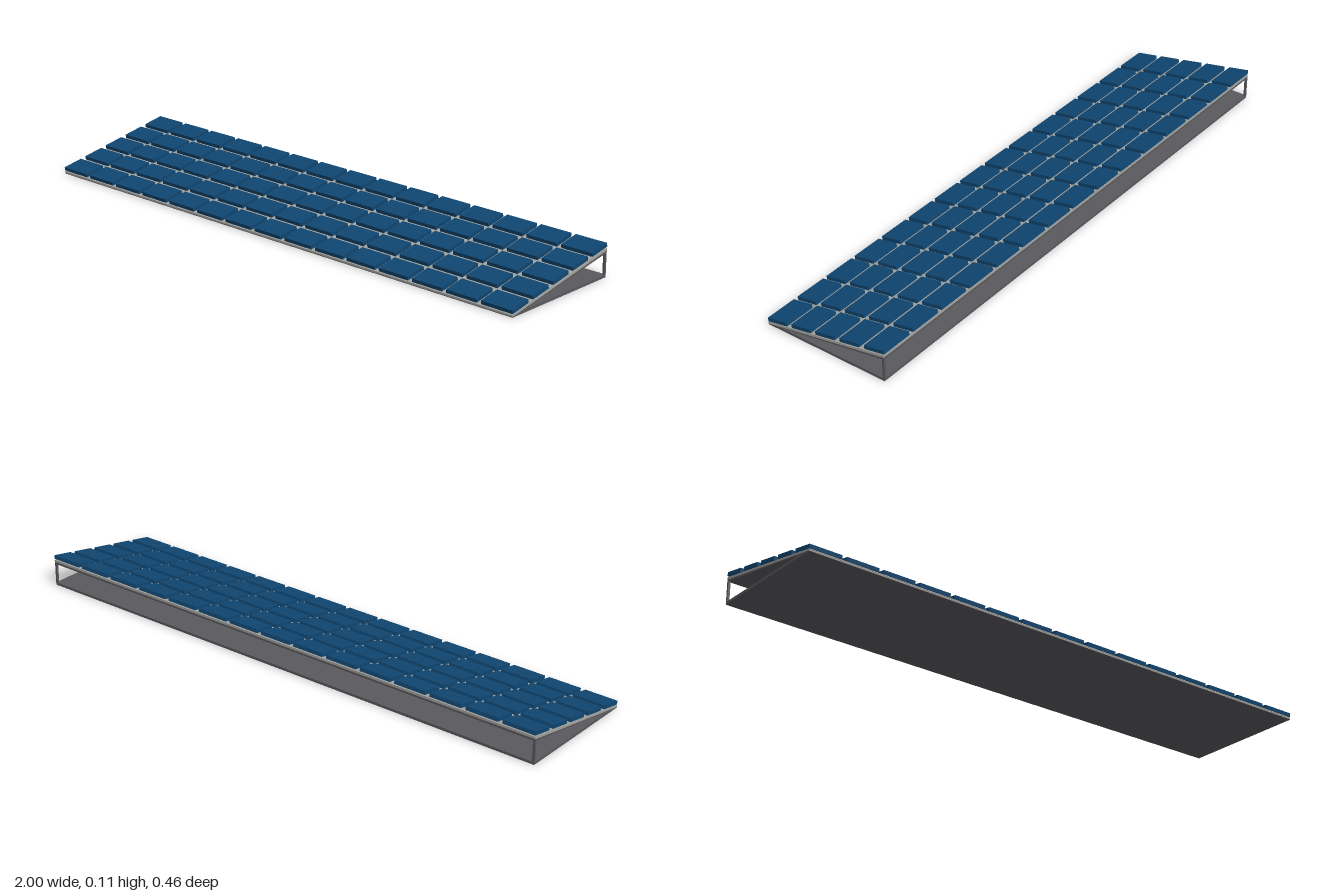
import * as THREE from 'three';

const COLS = 15, ROWS = 5;
const ANGLE = Math.atan(0.19);

export function createModel() {
  const group = new THREE.Group();
  const mat = (color) => new THREE.MeshStandardMaterial({ color });
  const blue = mat(0x0f4672), grey = mat(0xa2a29e), dark = mat(0x5a5a5e);

  const add = (name, geometry, material, x = 0, y = 0, z = 0, tilt = 0) => {
    const mesh = new THREE.Mesh(geometry, material);
    mesh.name = name;
    mesh.position.set(x, y, z);
    mesh.rotation.x = tilt;
    group.add(mesh);
    return mesh;
  };

  // Sheet across the full width, from a [z, y] cross-section
  const sheet = (name, points, material) => {
    const shape = new THREE.Shape(points.map(([z, y]) => new THREE.Vector2(-z, y)));
    const geo = new THREE.ExtrudeGeometry(shape, { depth: 2, bevelEnabled: false });
    geo.translate(0, 0, -1);
    geo.rotateY(Math.PI / 2);
    add(name, geo, material);
  };

  // Open wedge stand: floor sheet, sloping deck and rear posts
  sheet('basePlate', [[0.23, 0], [-0.23, 0], [-0.23, 0.009], [0.19, 0.009], [0.23, 0.002]], dark);
  sheet('slopingDeck', [[0.23, 0.0], [-0.23, 0.08], [-0.23, 0.087], [0.23, 0.002]], dark);
  for (const side of [-1, 1]) {
    add('rearPost', new THREE.BoxGeometry(0.008, 0.083, 0.007), dark, side * 0.996, 0.0425, -0.2265);
  }

  // Two thin backing sheets under the panels
  sheet('lowerBackingSheet', [[0.23, 0.002], [-0.23, 0.087], [-0.23, 0.091], [0.23, 0.005]], grey);
  sheet('upperBackingSheet', [[0.231, 0.0055], [-0.231, 0.0915], [-0.231, 0.0955], [0.231, 0.0085]], grey);

  // Grid of tilted solar panels
  const panel = new THREE.BoxGeometry(0.1175, 0.0125, 0.0765);
  for (let r = 0; r < ROWS; r++) {
    const z = 0.193 - r * 0.0965;
    for (let c = 0; c < COLS; c++) {
      add('solarPanel', panel, blue, -0.94125 + c * 0.13446, 0.0617 - z * 0.1935, z, ANGLE);
    }
  }
  return group;
}
